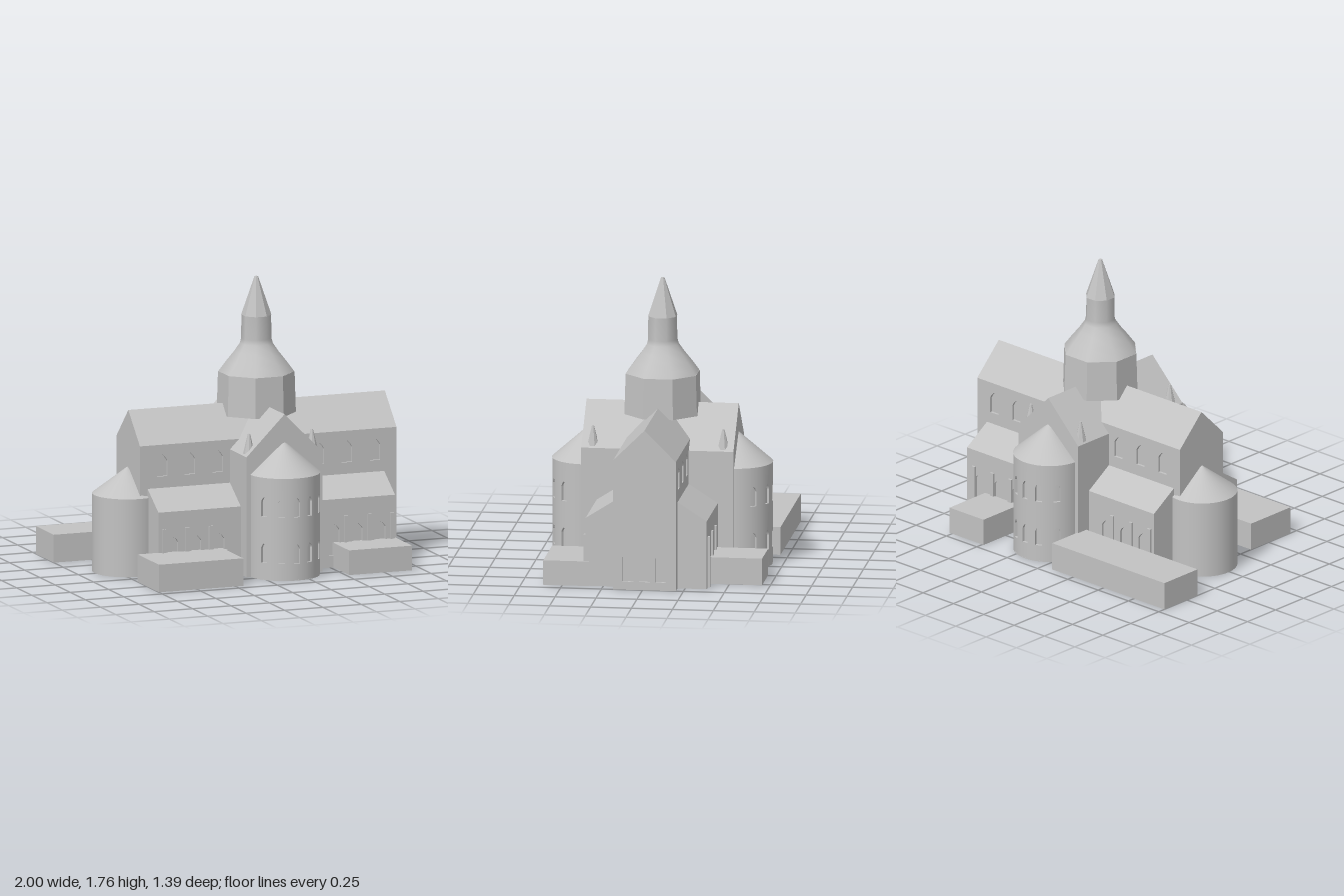
import * as THREE from 'three';

const stone = new THREE.MeshStandardMaterial({ color: 0xc2c2c2 });
stone.name = 'stone';
const D = 0.016;            // depth of the window recesses
const CX = 0.163;           // crossing axis
const CZ = -0.012;          // long axis of the church

export function createModel() {
  const root = new THREE.Group();
  const church = new THREE.Group();
  church.name = 'church';
  church.position.z = CZ;
  root.add(church);

  const add = (name, geo, x = 0, y = 0, z = 0, ry = 0, parent = church) => {
    const m = new THREE.Mesh(geo, stone);
    m.name = name;
    m.position.set(x, y, z);
    m.rotation.y = ry;
    parent.add(m);
    return m;
  };
  const block = (name, x0, x1, y0, y1, z0, z1, parent = church) =>
    add(name, new THREE.BoxGeometry(x1 - x0, y1 - y0, z1 - z0),
      (x0 + x1) / 2, (y0 + y1) / 2, (z0 + z1) / 2, 0, parent);
  const poly = pts => new THREE.Shape(pts.map(p => new THREE.Vector2(...p)));
  const extrude = (shape, depth) =>
    new THREE.ExtrudeGeometry(shape, { depth, bevelEnabled: false, curveSegments: 3 });
  const octagon = (rTop, rBottom, h) => {
    const g = new THREE.CylinderGeometry(rTop, rBottom, h, 8).rotateY(Math.PI / 8).toNonIndexed();
    g.computeVertexNormals();
    return g;
  };

  // Pointed window opening
  const windowHole = (x, w, y0, spring, top) => {
    const p = new THREE.Path(), h = w / 2, m = (spring + top) / 2 + 0.006;
    p.moveTo(x - h, y0);
    p.lineTo(x + h, y0);
    p.lineTo(x + h, spring);
    p.quadraticCurveTo(x + h * 0.65, m, x, top);
    p.quadraticCurveTo(x - h * 0.65, m, x - h, spring);
    p.closePath();
    return p;
  };
  const pierced = (pts, holes) => {
    const s = poly(pts);
    s.holes.push(...holes);
    return extrude(s, D);
  };
  const rect = (x0, x1, y1) => [[x0, 0], [x1, 0], [x1, y1], [x0, y1]];

  // Nave: core with pitched roof, pierced side walls and east gable
  const hw = 0.192, eave = 0.8, ridge = 0.99;
  const naveCore = poly([[-hw + D, 0], [hw - D, 0], [hw - D, eave], [hw, eave],
    [0, ridge], [-hw, eave], [-hw + D, eave]]);
  add('naveCore', extrude(naveCore, 1.67 - D), -0.67, 0, 0, Math.PI / 2);
  const clerestory = [-0.525, -0.345, -0.163, 0.495, 0.677, 0.86];
  add('eastGable', pierced([[-hw, 0], [hw, 0], [hw, eave], [0, ridge], [-hw, eave]],
    [-0.1, 0, 0.1].map(x => windowHole(x, 0.067, 0.05, 0.2, 0.235))),
    1 - D, 0, 0, Math.PI / 2);

  // Aisles: lean-to roofs against the nave
  const az = 0.37, aisleEave = 0.42, aisleTop = 0.535;
  const aisleCore = poly([[-az + D, 0], [az - D, 0], [az - D, aisleEave], [az, aisleEave],
    [hw - 0.02, aisleTop + 0.012], [-hw + 0.02, aisleTop + 0.012], [-az, aisleEave], [-az + D, aisleEave]]);
  add('aisleCore', extrude(aisleCore, 1.54), -0.62, 0, 0, Math.PI / 2);
  const aisleWindows = [-0.525, -0.375, -0.225, 0.525, 0.675, 0.825];

  // Walls repeated on both long sides; the back is a half turn, so x flips there
  for (const s of [1, -1]) {
    const ry = s > 0 ? 0 : Math.PI;
    const x0 = s > 0 ? -0.67 : -1 + D, x1 = s > 0 ? 1 - D : 0.67;
    add('clerestoryWall', pierced(rect(x0, x1, eave),
      clerestory.map(x => windowHole(s * x, 0.067, 0.605, 0.7, 0.74))), 0, 0, s * (hw - D), ry);
    add('aisleWall', pierced(s > 0 ? rect(-0.62, 0.92, aisleEave) : rect(-0.92, 0.62, aisleEave),
      aisleWindows.map(x => windowHole(s * x, 0.067, 0.075, 0.23, 0.265))), 0, 0, s * (az - D), ry);
    const buttresses = [-0.585, -0.435, -0.28].concat(s > 0 ? [0.6, 0.75, 0.9] : [0.56, 0.705, 0.86]);
    for (const x of buttresses)
      block('buttress', x - 0.013, x + 0.013, 0, 0.315,
        s > 0 ? az - 0.01 : -az - 0.013, s > 0 ? az + 0.013 : -az + 0.01);
  }

  // Transept
  const tw = 0.247, tl = 0.465;
  add('transept', extrude(poly([[-tw, 0], [tw, 0], [tw, 0.74], [0, 0.988], [-tw, 0.74]]), tl * 2),
    CX, 0, -tl);

  // Corner pinnacles
  for (const sx of [-1, 1]) for (const sz of [-1, 1])
    add('pinnacle', octagon(0.007, 0.038, 0.13), CX + sx * 0.205, 0.805, sz * 0.398);

  // Wraps a flat pierced panel (x = angle) around the apse wall
  const R = 0.22, apseTop = 0.63;
  const bend = (g, centre) => {
    const p = g.attributes.position, n = g.attributes.normal;
    for (let i = 0; i < p.count; i++) {
      const a = p.getX(i) / R + centre, r = R - D + p.getZ(i);
      const nx = n.getX(i), nz = n.getZ(i), c = Math.cos(a), s = Math.sin(a);
      p.setXYZ(i, r * s, p.getY(i), r * c);
      n.setXYZ(i, nx * c + nz * s, n.getY(i), nz * c - nx * s);
    }
    return g;
  };

  // Transept apses with two rows of windows
  for (const s of [1, -1]) {
    const apse = new THREE.Group();
    apse.name = s > 0 ? 'frontApse' : 'backApse';
    apse.position.set(CX, 0, s * 0.452);
    apse.rotation.y = s > 0 ? 0 : Math.PI;
    church.add(apse);
    add('apseCore', new THREE.CylinderGeometry(R - D, R - D, apseTop, 48), 0, apseTop / 2, 0, 0, apse);
    add('apseFloor', new THREE.CylinderGeometry(R, R, 0.004, 48), 0, 0.002, 0, 0, apse);
    add('apseRoof', new THREE.ConeGeometry(R + 0.002, 0.195, 48), 0, apseTop + 0.0975, 0, 0, apse);
    const columns = [-0.95, -0.43, 0, 0.43, 0.95], half = 0.125;
    let from = -1.65;
    for (const a of [...columns, null]) {
      const to = a === null ? 1.65 : a - half;
      add('apseWall', new THREE.CylinderGeometry(R, R, apseTop, 6, 1, true, from, to - from),
        0, apseTop / 2, 0, 0, apse);
      if (a === null) break;
      add('apseWindowBay', bend(pierced(rect(-half * R, half * R, apseTop),
        [windowHole(0, 0.042, 0.105, 0.195, 0.225), windowHole(0, 0.042, 0.39, 0.48, 0.51)]), a),
        0, 0, 0, 0, apse);
      from = a + half;
    }
  }

  // Plain west apse
  add('westApse', new THREE.CylinderGeometry(0.213, 0.213, 0.48, 48), -0.677, 0.24, 0);
  add('westApseRoof', new THREE.ConeGeometry(0.213, 0.162, 48), -0.677, 0.561, 0);

  // Crossing tower: octagonal drum, flared roof, lantern and spire
  add('towerDrum', octagon(0.232, 0.24, 0.25), CX, 1.045, 0);
  const flare = [[0.23, 1.17], [0.182, 1.235], [0.134, 1.295], [0.1, 1.345], [0.092, 1.375], [0.09, 1.52]]
    .map(p => new THREE.Vector2(...p));
  add('flaredRoof', new THREE.LatheGeometry(flare, 8, Math.PI / 8), CX, 0, 0);
  add('spire', octagon(0.011, 0.092, 0.237), CX, 1.6375, 0);

  // Low flat-roofed annexes
  const annexes = [
    ['frontLeftAnnex', -0.75, -0.2, 0.17, 0.345, 0.695],
    ['annexStep', -0.205, -0.182, 0.165, 0.345, 0.4],
    ['frontRightAnnex', 0.52, 0.93, 0.152, 0.337, 0.615],
    ['backLeftAnnex', -1, -0.075, 0.172, -0.7, -0.405],
    ['backRightAnnex', 0.49, 0.77, 0.165, -0.7, -0.38],
  ];
  for (const [name, x0, x1, h, z0, z1] of annexes) block(name, x0, x1, 0, h, z0, z1, root);

  return root;
}
